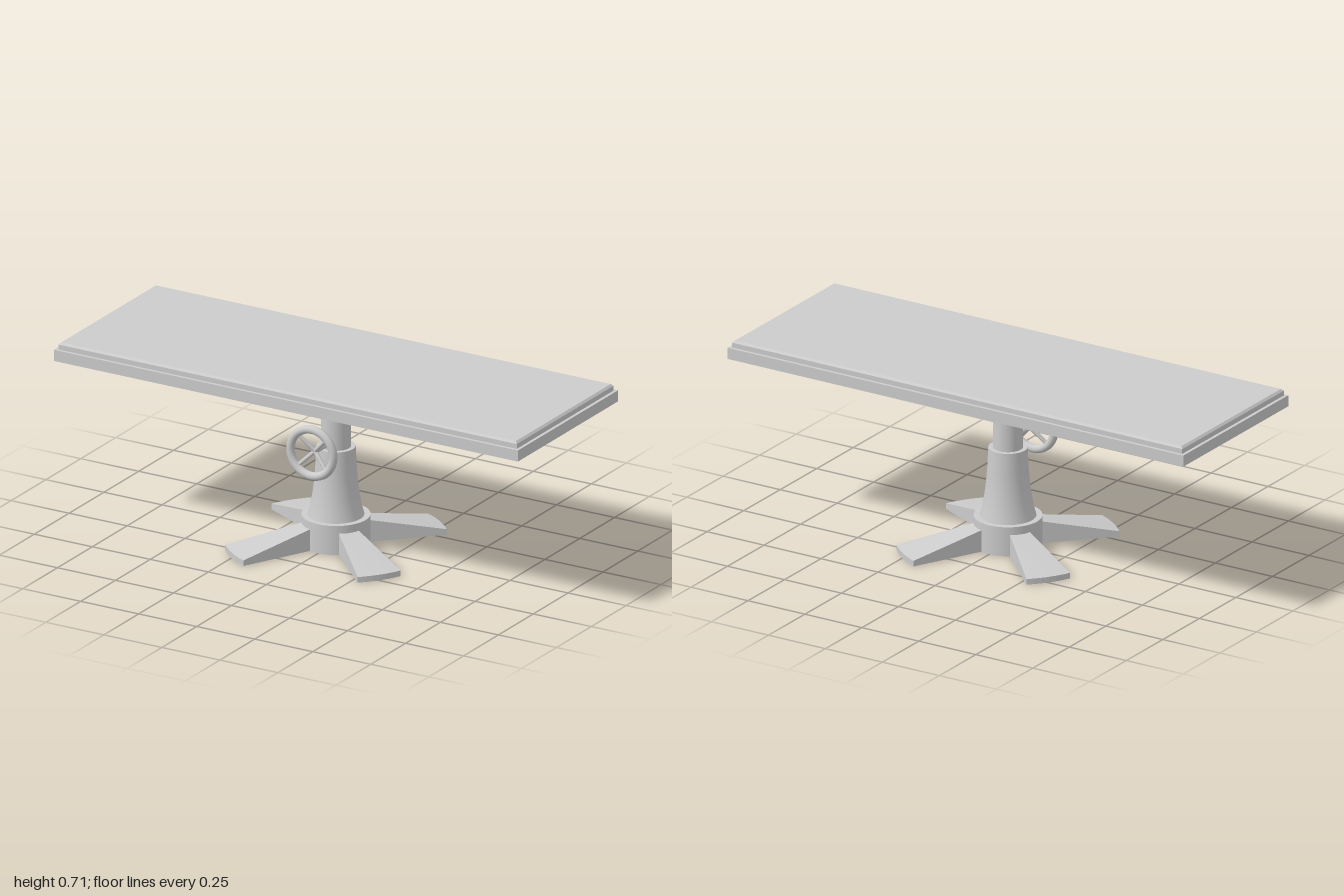
import * as THREE from 'three';

export function createModel() {
  const model = new THREE.Group();
  const smooth = new THREE.MeshStandardMaterial({ color: 0xcccccc, side: THREE.DoubleSide });
  const flat = new THREE.MeshStandardMaterial({ color: 0xcccccc, side: THREE.DoubleSide, flatShading: true });

  const add = (name, geometry, material = smooth, parent = model) => {
    const mesh = new THREE.Mesh(geometry, material);
    mesh.name = name;
    parent.add(mesh);
    return mesh;
  };
  const cylinder = (name, radius, y0, y1, open = false) => {
    const mesh = add(name, new THREE.CylinderGeometry(radius, radius, y1 - y0, 48, 1, open));
    mesh.position.y = (y0 + y1) / 2;
    return mesh;
  };

  // Table top: wide frame, raised panel and bevelled rim
  add('tableFrame', new THREE.BoxGeometry(2, 0.044, 0.72), flat).position.y = 0.662;
  add('tablePanel', new THREE.BoxGeometry(1.975, 0.019, 0.695), flat).position.y = 0.6935;
  const bevel = new THREE.BoxGeometry(1.975, 0.008, 0.695);
  const pos = bevel.attributes.position;
  for (let i = 0; i < pos.count; i++) {
    if (pos.getY(i) > 0) {
      pos.setX(i, pos.getX(i) - Math.sign(pos.getX(i)) * 0.008);
      pos.setZ(i, pos.getZ(i) - Math.sign(pos.getZ(i)) * 0.008);
    }
  }
  add('tableBevel', bevel, flat).position.y = 0.707;

  // Column: collar, shaft, flared pedestal and hub open below
  cylinder('collar', 0.072, 0.61, 0.64);
  cylinder('shaft', 0.056, 0.38, 0.61);
  const flare = [[0.105, 0.115], [0.096, 0.15], [0.087, 0.2], [0.081, 0.25], [0.077, 0.3], [0.073, 0.385]];
  add('pedestal', new THREE.LatheGeometry(flare.map(([r, y]) => new THREE.Vector2(r, y)), 48));
  const disc = (name, radius, y) => {
    const mesh = add(name, new THREE.CircleGeometry(radius, 48));
    mesh.rotation.x = -Math.PI / 2;
    mesh.position.y = y;
  };
  disc('pedestalTop', 0.073, 0.385);
  cylinder('hub', 0.128, 0, 0.115, true);
  disc('hubTop', 0.128, 0.115);

  // Foot: hollow flared wedge with an arched outer end, pointing along +x
  const footGeometry = () => {
    const outline = [[0.121, -0.04]];
    const steps = 6, half = 0.208, radius = 0.417;
    for (let i = 0; i <= steps; i++) {
      const a = -half + (2 * half * i) / steps;
      outline.push([radius * Math.cos(a), radius * Math.sin(a)]);
    }
    outline.push([0.121, 0.04]);
    const n = outline.length, points = [], index = [];
    outline.forEach(([x, z]) => points.push(x, 0, z, x, x < 0.2 ? 0.085 : 0.022, z));
    for (let i = 0; i < n - 1; i++) {
      const a = 2 * i, b = a + 2;
      index.push(a, a + 1, b, b, a + 1, b + 1);
    }
    // Top: two inner corners joined to the outer arc
    const mid = 1 + steps / 2, first = 1, last = 2 * n - 1;
    for (let i = 1; i < n - 2; i++) {
      index.push(i < mid ? first : last, 2 * i + 3, 2 * i + 1);
    }
    index.push(first, last, 2 * mid + 1);
    const geometry = new THREE.BufferGeometry();
    geometry.setAttribute('position', new THREE.Float32BufferAttribute(points, 3));
    geometry.setIndex(index);
    const faceted = geometry.toNonIndexed();
    faceted.computeVertexNormals();
    return faceted;
  };
  const foot = footGeometry();
  for (let i = 0; i < 4; i++) {
    add('foot' + (i + 1), foot, flat).rotation.y = -THREE.MathUtils.degToRad(36 + 90 * i);
  }

  // Handwheel: rim, axle and four dished spokes
  const wheel = new THREE.Group();
  wheel.name = 'handwheel';
  wheel.position.y = 0.413;
  model.add(wheel);
  add('wheelRim', new THREE.TorusGeometry(0.092, 0.016, 20, 48), smooth, wheel).position.z = 0.173;
  const axle = add('wheelAxle', new THREE.CylinderGeometry(0.011, 0.011, 0.11, 24), smooth, wheel);
  axle.rotation.x = Math.PI / 2;
  axle.position.z = 0.102;
  for (let i = 0; i < 4; i++) {
    const a = Math.PI / 4 + (i * Math.PI) / 2;
    const point = (r, z) => new THREE.Vector3(r * Math.cos(a), r * Math.sin(a), z);
    const path = new THREE.LineCurve3(point(0, 0.15), point(0.09, 0.173));
    add('wheelSpoke' + (i + 1), new THREE.TubeGeometry(path, 1, 0.008, 12), smooth, wheel);
  }
  return model;
}
